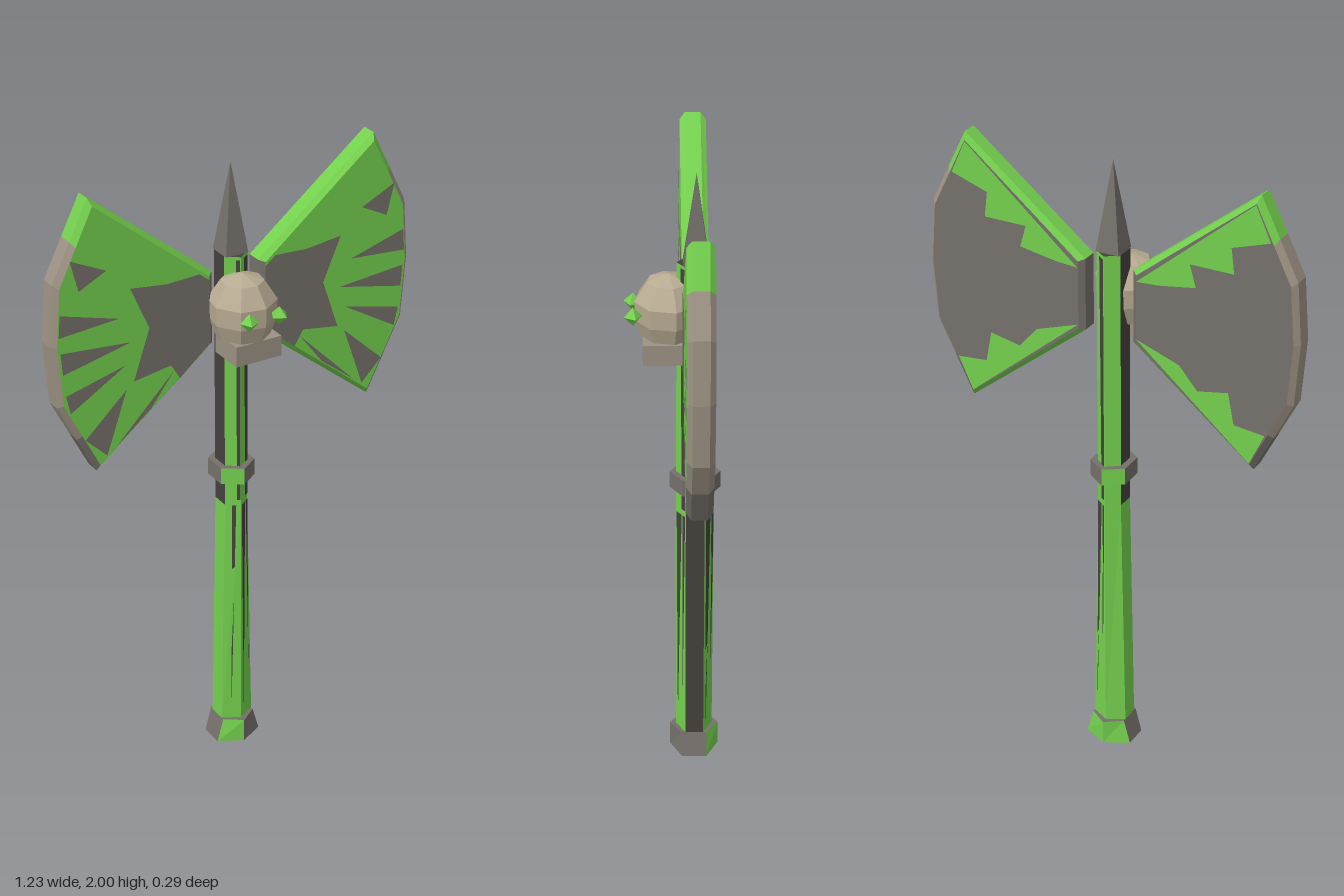
import * as THREE from 'three';

const GREEN = 0x74d04e, GREY = 0x75706a, DARK = 0x45413f, TAN = 0xb8ab92, RIM = 0x9c9183;
const AXIS_Z = -0.068; // depth of the shaft and blades

const mats = {};
const mat = (c) => (mats[c] ??= new THREE.MeshStandardMaterial({ color: c }));

function add(parent, name, geometry, color) {
  const g = geometry.index ? geometry.toNonIndexed() : geometry;
  g.computeVertexNormals(); // faceted
  const mesh = new THREE.Mesh(g, mat(color));
  mesh.name = name;
  parent.add(mesh);
  return mesh;
}

// Geometry from convex polygons, corners counter-clockwise from outside
function facets(polys) {
  const pos = [];
  for (const p of polys)
    for (let i = 1; i < p.length - 1; i++) pos.push(...p[0], ...p[i], ...p[i + 1]);
  const g = new THREE.BufferGeometry();
  g.setAttribute('position', new THREE.Float32BufferAttribute(pos, 3));
  return g;
}

// Adds polygons grouped into one mesh per colour
function addPainted(parent, name, list) {
  const byColor = new Map();
  for (const [color, poly] of list) {
    if (!byColor.has(color)) byColor.set(color, []);
    byColor.get(color).push(poly);
  }
  for (const [color, polys] of byColor) add(parent, name, facets(polys), color);
}

// Flat outline facing +z (dir 1) or -z (dir -1)
function flat(points, z, dir) {
  const g = new THREE.ShapeGeometry(new THREE.Shape(points.map(([x, y]) => new THREE.Vector2(x * dir, y))));
  if (dir < 0) g.rotateY(Math.PI);
  return g.translate(0, 0, z);
}

// Corner k of a six-sided ring with half width hx and half depth hz
const corner = (k, hx, hz, y) => [
  (Math.sin((k * Math.PI) / 3) * hx) / 0.866, y, AXIS_Z + Math.cos((k * Math.PI) / 3) * hz];

// Six-sided sleeve: a bottom and a top ring [y, hx, hz], one colour per side
function sleeve(parent, name, [y0, x0, z0], [y1, x1, z1], colors, capColor) {
  const list = [], top = [], bottom = [];
  for (let k = 0; k < 6; k++) {
    list.push([colors[k], [corner(k, x0, z0, y0), corner(k + 1, x0, z0, y0),
      corner(k + 1, x1, z1, y1), corner(k, x1, z1, y1)]]);
    top.push(corner(k, x1, z1, y1));
    bottom.unshift(corner(k, x0, z0, y0));
  }
  list.push([capColor, top], [capColor, bottom]);
  addPainted(parent, name, list);
}

// Painted sliver on side k of the shaft; points are [u across, y]
function streak(parent, k, color, points) {
  const lift = 0.0015;
  add(parent, 'shaftStreak', facets([points.map(([u, y]) => {
    const hx = 0.04 + 0.016 * Math.max(0, (0.88 - y) / 0.8) + lift;
    const a = corner(k, hx, 0.058 + lift, y), b = corner(k + 1, hx, 0.058 + lift, y);
    return a.map((v, i) => v + (b[i] - v) * u);
  })]), color);
}

// Blade outline for the +x side, clockwise from the inner top
const OUTLINE = [[0.08, 1.68], [0.48, 2], [0.54, 1.88], [0.6, 1.76], [0.615, 1.57],
  [0.6, 1.37], [0.54, 1.25], [0.48, 1.13], [0.08, 1.45]];
const EDGE_COLORS = [GREEN, GREEN, RIM, RIM, RIM, RIM, GREY, GREEN, GREY];
const INSET = OUTLINE.map(([x, y]) => [0.355 + (x - 0.355) * 0.94, 1.567 + (y - 1.567) * 0.95]);

const FRONT_GREY = [
  [[0.095, 1.662], [0.13, 1.69], [0.24, 1.685], [0.36, 1.7], [0.3, 1.56], [0.355, 1.4], [0.23, 1.42], [0.2, 1.37], [0.095, 1.46]],
  [[0.55, 1.83], [0.435, 1.775], [0.525, 1.73]],
  [[0.588, 1.67], [0.4, 1.615], [0.594, 1.6]],
  [[0.59, 1.55], [0.36, 1.53], [0.585, 1.48]],
  [[0.578, 1.41], [0.38, 1.46], [0.565, 1.35]],
  [[0.52, 1.25], [0.38, 1.38], [0.47, 1.17], [0.45, 1.18]],
  [[0.42, 1.2], [0.22, 1.4], [0.3, 1.295]],
];
const BACK_GREEN = [
  [[0.097, 1.655], [0.472, 1.975], [0.52, 1.87], [0.4, 1.83], [0.41, 1.75], [0.27, 1.75], [0.29, 1.68], [0.17, 1.66]],
  [[0.097, 1.47], [0.472, 1.155], [0.52, 1.26], [0.42, 1.27], [0.4, 1.37], [0.3, 1.35], [0.24, 1.42]],
];

function blade(side) {
  const g = new THREE.Group();
  g.name = side > 0 ? 'leftBlade' : 'rightBlade';
  const flip = (pts) => pts.map(([x, y]) => [x * side, y]);
  const rings = [[INSET, 0.04], [OUTLINE, 0.024], [OUTLINE, -0.024], [INSET, -0.04]]
    .map(([pts, z]) => flip(pts).map(([x, y]) => [x, y, AXIS_Z + z]));
  const list = [];
  // bevelled rim
  for (let r = 0; r < 3; r++)
    for (let i = 0; i < OUTLINE.length; i++) {
      const j = (i + 1) % OUTLINE.length;
      const quad = [rings[r][i], rings[r][j], rings[r + 1][j], rings[r + 1][i]];
      list.push([EDGE_COLORS[i], side > 0 ? quad : quad.reverse()]);
    }
  addPainted(g, 'bladeRim', list);
  // broad faces with painted patches
  add(g, 'bladeFront', flat(flip(INSET), AXIS_Z + 0.04, 1), GREEN);
  add(g, 'bladeBack', flat(flip(INSET), AXIS_Z - 0.04, -1), GREY);
  for (const p of FRONT_GREY) add(g, 'frontPatch', flat(flip(p), AXIS_Z + 0.0415, 1), GREY);
  for (const p of BACK_GREEN) add(g, 'backPatch', flat(flip(p), AXIS_Z - 0.0415, -1), GREEN);
  return g;
}

function skull() {
  const g = new THREE.Group();
  g.name = 'skull';
  const profile = [[0, 1.48], [0.08, 1.48], [0.102, 1.54], [0.104, 1.6], [0.065, 1.66], [0, 1.682]]
    .map(([x, y]) => new THREE.Vector2(x, y));
  add(g, 'cranium', new THREE.LatheGeometry(profile, 8).rotateY(0.2).translate(-0.008, 0, 0.012), TAN);
  add(g, 'jaw', new THREE.BoxGeometry(0.155, 0.065, 0.12).translate(0.002, 1.455, 0.03), RIM);
  for (const s of [-1, 1])
    add(g, 'eye', new THREE.OctahedronGeometry(0.029).rotateY(s * 0.3)
      .translate(0.003 + s * 0.051, 1.572, 0.118), GREEN);
  return g;
}

export function createModel() {
  const model = new THREE.Group();
  model.name = 'doubleAxe';

  // shaft, with a pommel and a collar
  const shaft = new THREE.Group();
  shaft.name = 'shaft';
  sleeve(shaft, 'pommel', [0, 0.078, 0.078], [0.08, 0.056, 0.078],
    [GREY, GREY, GREEN, GREEN, GREY, GREEN], GREY);
  sleeve(shaft, 'grip', [0.08, 0.056, 0.058], [0.88, 0.04, 0.058],
    [GREEN, DARK, GREEN, GREEN, GREEN, GREEN], DARK);
  sleeve(shaft, 'upperShaft', [0.88, 0.04, 0.058], [1.72, 0.04, 0.058],
    [GREEN, DARK, GREEN, GREEN, DARK, GREEN], DARK);
  sleeve(shaft, 'collar', [0.965, 0.06, 0.078], [1.02, 0.06, 0.078],
    [GREY, GREY, GREY, GREEN, GREY, GREEN], GREY);
  for (const k of [0, 2]) {
    streak(shaft, k, DARK, [[0.25, 0.1], [0.6, 0.88], [0.1, 0.88]]);
    streak(shaft, k, DARK, [[0.75, 0.25], [0.95, 0.88], [0.7, 0.88]]);
    streak(shaft, k, DARK, [[0.6, 0.9], [0.95, 0.9], [0.95, 1.71], [0.45, 1.71]]);
  }
  streak(shaft, 5, DARK, [[0.5, 0.1], [0.7, 0.88], [0.45, 0.88]]);
  streak(shaft, 5, DARK, [[0.75, 0.9], [0.95, 0.9], [0.95, 1.71], [0.7, 1.71]]);
  model.add(shaft);

  // square spike on top
  add(model, 'spike', new THREE.ConeGeometry(0.038 * Math.SQRT2, 0.28, 4)
    .rotateY(Math.PI / 4).translate(0, 1.86, AXIS_Z), GREY);

  model.add(blade(1), blade(-1), skull());
  return model;
}
